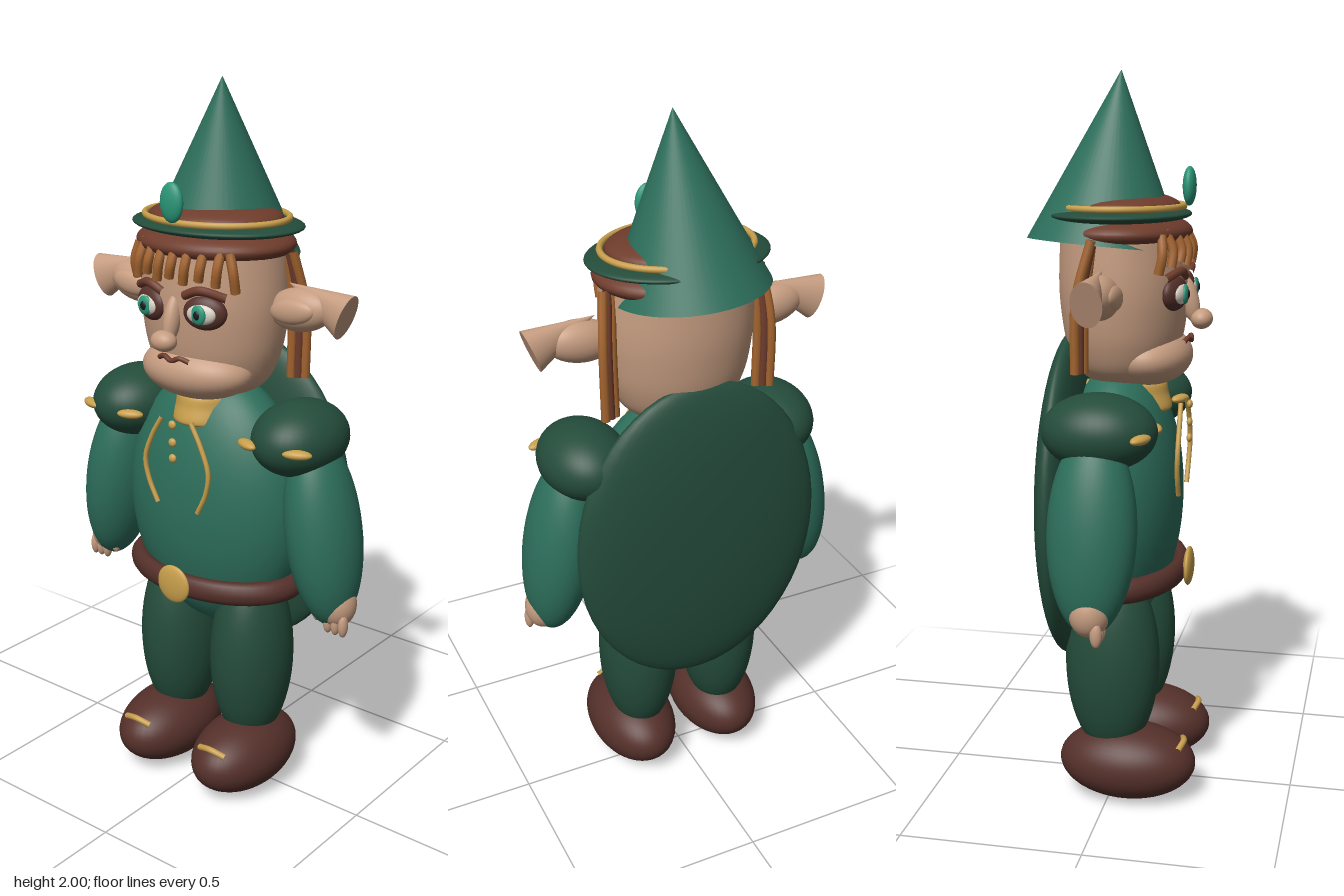
import * as THREE from 'three';

const mat = (name, color) => Object.assign(new THREE.MeshStandardMaterial({ color }), { name });
const V = (p) => new THREE.Vector3(...p);

export function createModel() {
  const root = new THREE.Group();
  root.name = 'forestElf';

  const tunic = mat('tunicGreen', 0x2d6e5b);
  const forest = mat('forestGreen', 0x244c3b);
  const leather = mat('darkLeather', 0x55302a);
  const rust = mat('rustBrown', 0x6e3c2c);
  const skin = mat('skin', 0xc59c80);
  const gold = mat('gold', 0xc89f4c);
  const hair = mat('copperHair', 0xa3642f);
  const gem = mat('emerald', 0x2b9678);
  const white = mat('eyeWhite', 0xd8d2c4);
  const dark = mat('pupilBlack', 0x1a1a1c);

  const add = (name, geo, material, pos = [0, 0, 0], rot = [0, 0, 0], scale = [1, 1, 1]) => {
    const m = new THREE.Mesh(geo, material);
    m.name = name;
    m.position.set(...pos);
    m.rotation.set(...rot);
    m.scale.set(...scale);
    root.add(m);
    return m;
  };
  const sphere = new THREE.SphereGeometry(1, 40, 28);
  const ball = (name, material, pos, radii, rot) => add(name, sphere, material, pos, rot, radii);
  const tube = (name, material, pts, r) =>
    add(name, new THREE.TubeGeometry(new THREE.CatmullRomCurve3(pts.map(V)), 20, r, 8), material);
  const lathe = (pts) =>
    new THREE.LatheGeometry(new THREE.SplineCurve(pts.map((p) => new THREE.Vector2(...p))).getPoints(32), 48);

  // Torso, cape and belt
  ball('torso', tunic, [0, 0.85, 0], [0.285, 0.375, 0.175]);
  ball('cape', forest, [0, 0.845, -0.13], [0.36, 0.465, 0.073]);
  add('belt', new THREE.TorusGeometry(0.25, 0.034, 14, 56).rotateX(Math.PI / 2), leather,
    [0, 0.637, 0], [0, 0, 0], [1, 1, 0.68]);
  ball('buckle', gold, [0, 0.645, 0.197], [0.055, 0.055, 0.014]);

  // Collar, buttons
  add('collar', lathe([[0.08, 1.18], [0.095, 1.17], [0.1, 1.14], [0.107, 1.1], [0.09, 1.09]].reverse()), gold,
    [0, 0, 0], [0, 0, 0], [1, 1, 1.35]);
  for (const y of [1.11, 1.06, 1.015]) ball('button', gold, [0, y, 0.195], [0.012, 0.012, 0.008]);

  // Head, jaw, nose and mouth
  add('head', lathe([[0, 1.165], [0.09, 1.172], [0.155, 1.21], [0.19, 1.28], [0.207, 1.36], [0.214, 1.45], [0.208, 1.58]]),
    skin, [0, 0, 0.012], [0, 0, 0], [1, 1, 0.82]);
  ball('jaw', skin, [0, 1.245, 0.085], [0.17, 0.08, 0.115]);
  ball('noseBridge', skin, [0, 1.4, 0.19], [0.022, 0.065, 0.026], [-0.25, 0, 0]);
  ball('noseTip', skin, [0, 1.347, 0.225], [0.038, 0.028, 0.03]);
  tube('mouth', rust, [[-0.05, 1.288, 0.184], [-0.025, 1.297, 0.193], [0, 1.288, 0.197], [0.025, 1.297, 0.193], [0.05, 1.288, 0.184]], 0.007);

  // Hat: leaning cone, brim, bands and jewel
  ball('hatLining', rust, [0, 1.58, 0.008], [0.228, 0.055, 0.187]);
  ball('hatBrim', forest, [0, 1.625, 0], [0.25, 0.026, 0.192]);
  ball('hatBand', rust, [0, 1.645, 0.008], [0.192, 0.042, 0.155]);
  add('hatCord', new THREE.TorusGeometry(0.205, 0.009, 10, 64).rotateX(Math.PI / 2), gold,
    [0, 1.646, 0.004], [0, 0, 0], [1, 1, 0.82]);
  add('hatCone', new THREE.ConeGeometry(0.213, 0.46, 56).translate(0, -0.23, 0), tunic,
    [0.015, 2, 0], [0.08, 0, -0.07]);
  ball('hatJewel', gem, [0, 1.7, 0.188], [0.036, 0.052, 0.018]);

  // Fringe
  for (let i = 0; i < 7; i++) {
    const x = (i - 3) * 0.042, z = 0.192 - x * x * 1.8;
    tube('fringeLock', hair, [[x, 1.59, z - 0.02], [x * 1.03, 1.54, z + 0.003], [x * 1.03 - 0.008, 1.495 + (i % 2) * 0.012, z]], 0.013);
  }

  for (const s of [1, -1]) {
    // Legs and shoes
    ball('leg', forest, [s * 0.13, 0.4, 0.005], [0.113, 0.28, 0.132]);
    ball('shoe', leather, [s * 0.139, 0.107, 0.05], [0.124, 0.107, 0.193]);
    tube('shoeTrim', gold, [[s * 0.139 - 0.045, 0.163, 0.2], [s * 0.139, 0.175, 0.21], [s * 0.139 + 0.045, 0.163, 0.2]], 0.009);

    // Arms, puffed shoulders and shoulder trim
    ball('arm', tunic, [s * 0.362, 0.835, 0], [0.098, 0.268, 0.118], [0, 0, s * 0.16]);
    ball('shoulderPuff', forest, [s * 0.283, 1.085, 0.003], [0.121, 0.102, 0.153]);
    ball('shoulderTrim', gold, [s * 0.358, 1.085, 0.126], [0.04, 0.013, 0.018], [0, s * 0.4, 0]);
    ball('shoulderTrim', gold, [s * 0.205, 1.083, 0.135], [0.038, 0.013, 0.018], [0, -s * 0.4, 0]);

    // Hands
    ball('palm', skin, [s * 0.415, 0.64, 0.005], [0.054, 0.066, 0.055], [0, 0, s * 0.1]);
    for (let i = 0; i < 3; i++)
      ball('finger', skin, [s * (0.405 + i * 0.024), 0.592, 0.03], [0.013, 0.034, 0.016]);
    ball('thumb', skin, [s * 0.375, 0.615, 0.03], [0.014, 0.032, 0.016], [0, 0, -s * 0.3]);

    // Tunic laces
    tube('lace', gold, [[s * 0.05, 1.12, 0.178], [s * 0.085, 1.06, 0.18], [s * 0.11, 0.99, 0.18], [s * 0.1, 0.93, 0.178], [s * 0.07, 0.868, 0.177]], 0.007);

    // Ears with flared tips
    ball('ear', skin, [s * 0.275, 1.43, 0.003], [0.098, 0.058, 0.05], [0, 0, s * 0.12]);
    ball('innerEar', skin, [s * 0.272, 1.43, 0.038], [0.068, 0.034, 0.022], [0, 0, s * 0.12]);
    add('earTip', new THREE.ConeGeometry(0.063, 0.19, 32).translate(0, -0.095, 0), skin,
      [s * 0.235, 1.495, 0], [0, 0, s * (Math.PI / 2 - 0.36)], [1, 1, 0.65]);

    // Eyes and brows
    const ex = s * 0.09;
    ball('eyeSocket', leather, [ex, 1.424, 0.165], [0.06, 0.046, 0.026], [0, s * 0.3, 0]);
    ball('eyeWhite', white, [ex, 1.423, 0.181], [0.042, 0.028, 0.017], [0, s * 0.2, 0]);
    ball('iris', gem, [ex, 1.423, 0.194], [0.023, 0.026, 0.009]);
    ball('pupil', dark, [ex, 1.423, 0.201], [0.01, 0.012, 0.005]);
    tube('brow', rust, [[s * 0.035, 1.465, 0.184], [s * 0.085, 1.483, 0.181], [s * 0.145, 1.465, 0.148]], 0.012);

    // Long side locks
    for (let i = 0; i < 3; i++)
      tube('sideLock', i === 1 ? rust : hair,
        [[s * (0.2 + i * 0.012), 1.57, -0.03], [s * (0.21 + i * 0.016), 1.42, -0.05 - i * 0.008], [s * (0.208 + i * 0.017), 1.225, -0.055 - i * 0.008]], 0.013);
    tube('templeLock', hair, [[s * 0.15, 1.58, 0.14], [s * 0.165, 1.53, 0.145], [s * 0.165, 1.48, 0.135]], 0.013);
  }
  return root;
}
